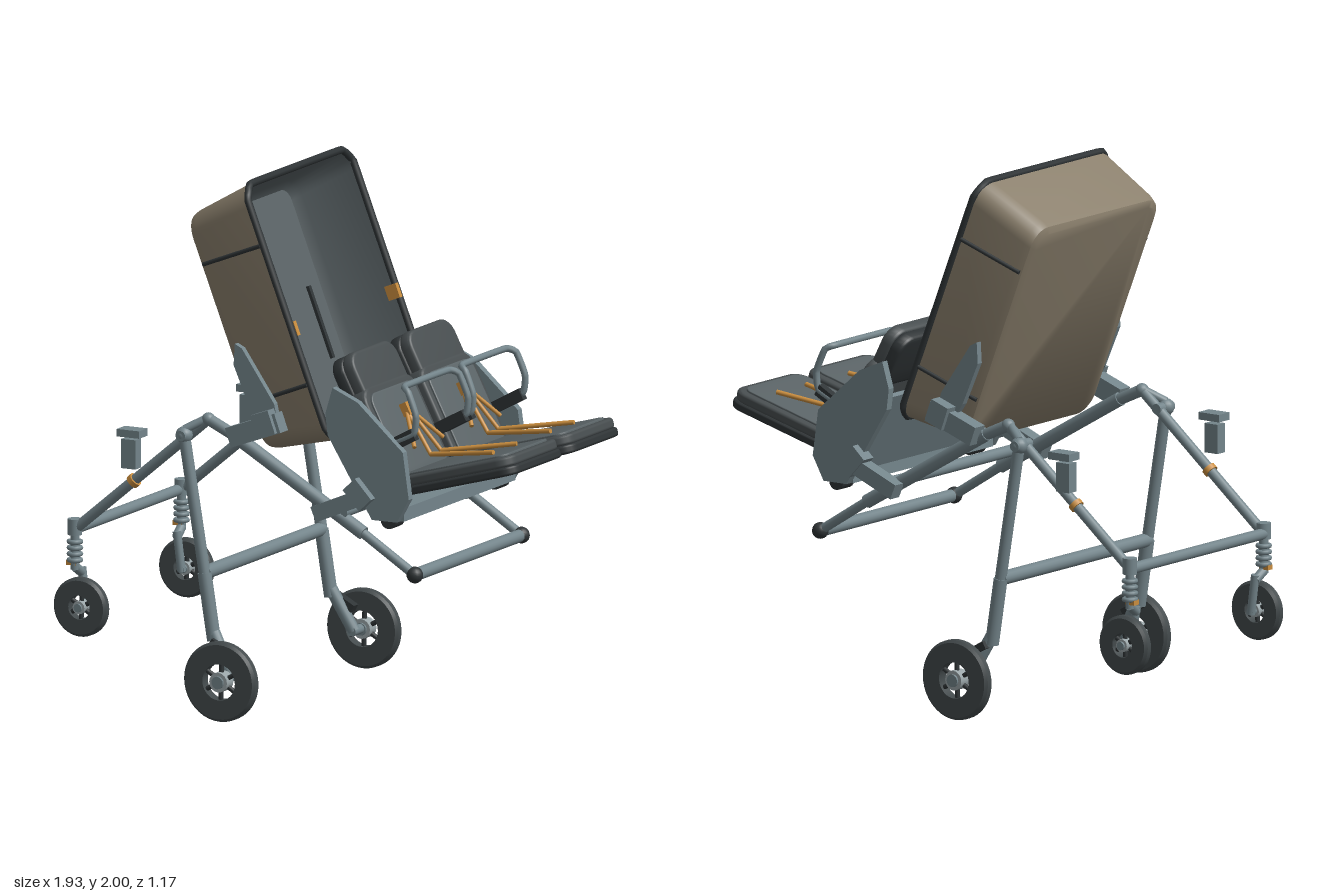
import * as THREE from 'three';
import { toCreasedNormals } from 'three/addons/utils/BufferGeometryUtils.js';

const mat = (name, color) => Object.assign(new THREE.MeshStandardMaterial({ color }), { name });

export function createModel() {
  const tan = mat('canvas tan', 0x8a7f6c), lining = mat('lining grey', 0x5a6366);
  const pad = mat('cushion charcoal', 0x474d4f), steel = mat('frame steel', 0x74858b);
  const rubber = mat('tyre rubber', 0x434a4c), trim = mat('trim black', 0x2f3436);
  const orange = mat('harness orange', 0xc98d3e), hubMat = mat('hub silver', 0x9aa5a8);
  lining.side = THREE.DoubleSide;

  const model = new THREE.Group();
  const V = (x, y, z) => new THREE.Vector3(x, y, z);
  const add = (name, geo, m, parent = model) => {
    const mesh = new THREE.Mesh(geo, m);
    mesh.name = name;
    parent.add(mesh);
    return mesh;
  };
  // Straight rod between two points
  const rod = (name, a, b, r, m = steel, parent = model, r2 = r) => {
    const A = V(...a), B = V(...b), d = B.clone().sub(A);
    const mesh = add(name, new THREE.CylinderGeometry(r2, r, d.length(), 16), m, parent);
    mesh.position.copy(A).add(B).multiplyScalar(0.5);
    mesh.quaternion.setFromUnitVectors(V(0, 1, 0), d.normalize());
    return mesh;
  };
  const box = (name, size, pos, m, parent = model, rz = 0) => {
    const mesh = add(name, new THREE.BoxGeometry(...size), m, parent);
    mesh.position.set(...pos);
    mesh.rotation.z = rz;
    return mesh;
  };
  const ball = (name, pos, r, m) => add(name, new THREE.SphereGeometry(r, 16, 12), m).position.set(...pos);
  const tube = (name, pts, r, m, closed = false, parent = model) => add(name, new THREE.TubeGeometry(
    new THREE.CatmullRomCurve3(pts, closed, 'catmullrom', 0.2), pts.length * 6, r, 8, closed), m, parent);
  // Flat plate cut in the xy plane, centred on z
  const plate = (name, pts, t, z, m) => {
    const g = new THREE.ExtrudeGeometry(new THREE.Shape(pts.map(p => new THREE.Vector2(...p))),
      { depth: t, bevelEnabled: false });
    add(name, g, m).position.z = z - t / 2;
  };
  // Points round a rounded rectangle, anticlockwise in (u, v)
  const ring = (hu, hv, r, n = 6) => {
    const out = [];
    [[1, 1], [-1, 1], [-1, -1], [1, -1]].forEach(([su, sv], k) => {
      for (let i = 0; i <= n; i++) {
        const a = (k + i / n) * Math.PI / 2;
        out.push([su * (hu - r) + r * Math.cos(a), sv * (hv - r) + r * Math.sin(a)]);
      }
    });
    return out;
  };

  // ---- Tub: open box tilted back, its mouth facing +x ----
  const tub = new THREE.Group();
  tub.name = 'tub';
  tub.position.set(0.005, 1.525, 0);
  tub.rotation.z = 0.374;
  model.add(tub);
  const loft = (rows) => {
    const pos = [], idx = [];
    rows.forEach(([x, hy, hz, r]) => ring(hy, hz, r).forEach(([u, v]) => pos.push(x, u, v)));
    const n = ring(1, 1, 0.1).length, last = rows.length - 1;
    for (let k = 0; k < last; k++) for (let i = 0; i < n; i++) {
      const a = k * n + i, b = k * n + (i + 1) % n;
      idx.push(a, a + n, b, b, a + n, b + n);
    }
    for (let i = 1; i < n - 1; i++) idx.push(last * n, last * n + i + 1, last * n + i);
    const g = new THREE.BufferGeometry();
    g.setAttribute('position', new THREE.Float32BufferAttribute(pos, 3));
    g.setIndex(idx);
    return toCreasedNormals(g, 0.6);
  };
  add('tubShell', loft([[0, 0.5, 0.41, 0.08], [-0.26, 0.462, 0.39, 0.08],
    [-0.287, 0.452, 0.382, 0.075], [-0.3, 0.43, 0.362, 0.06]]), tan, tub);
  add('tubLining', loft([[0, 0.49, 0.4, 0.075], [-0.24, 0.452, 0.38, 0.07],
    [-0.275, 0.425, 0.357, 0.05]]), lining, tub);
  tube('tubRim', ring(0.498, 0.406, 0.08, 4).map(([u, v]) => V(0, u, v)), 0.014, trim, true, tub);
  for (const s of [1, -1]) {
    for (const y of [0.27, -0.27])
      rod('tubSeam', [-0.28, y, s * 0.388], [-0.01, y, s * 0.411], 0.008, trim, tub);
    box('floorSlot', [0.012, 0.28, 0.018], [-0.268, -0.08, s * 0.26], trim, tub);
    box('rimTag', [0.05, 0.055, 0.02], [-0.01, -0.06, s * 0.392], orange, tub);
  }

  // ---- Wheels ----
  const wheel = (name, x, y, z, R, ri, w) => {
    const g = new THREE.Group();
    g.name = name;
    g.position.set(x, y, z);
    model.add(g);
    const pts = [[ri, -w], [R - 0.01, -w], [R, -w + 0.01], [R, w - 0.01], [R - 0.01, w], [ri, w], [ri, -w]];
    add('tyre', toCreasedNormals(new THREE.LatheGeometry(pts.map(p => new THREE.Vector2(...p)), 40), 0.6), rubber, g)
      .rotation.x = Math.PI / 2;
    rod('hub', [0, 0, -w - 0.004], [0, 0, w + 0.004], ri * 0.55, hubMat, g);
    rod('axleCap', [0, 0, -w - 0.012], [0, 0, w + 0.012], ri * 0.35, steel, g);
    for (let i = 0; i < 6; i++) {
      const a = i * Math.PI / 3 + 0.5;
      rod('spoke', [0, 0, 0], [ri * 1.02 * Math.cos(a), ri * 1.02 * Math.sin(a), 0], 0.009, trim, g);
    }
  };

  // ---- Frame, mirrored in z ----
  for (const s of [1, -1]) {
    const z = s * 0.41, zl = s * 0.45;
    rod('rearTube', [-0.88, 0.63, z], [-0.32, 1.1, z], 0.02);
    ball('rearTubeJoint', [-0.32, 1.1, z], 0.025, steel);
    rod('upperArm', [-0.32, 1.1, z], [-0.19, 1.04, z], 0.022);
    rod('frontArm', [-0.22, 1.055, z], [0.33, 0.735, z], 0.026);
    rod('frontArmTip', [0.33, 0.735, z], [0.545, 0.6, z], 0.018);
    ball('frontBarEnd', [0.545, 0.6, z], 0.031, trim);
    // Main leg and axle
    rod('mainLeg', [-0.4, 1.04, zl], [-0.315, 0.53, zl], 0.022);
    rod('mainLegLower', [-0.315, 0.53, zl], [-0.275, 0.28, zl], 0.026);
    ball('legTopJoint', [-0.4, 1.04, zl], 0.032, steel);
    rod('legPivot', [-0.4, 1.04, s * 0.39], [-0.4, 1.04, s * 0.48], 0.02);
    rod('legHook', [-0.4, 1.06, zl], [-0.33, 1.1, z], 0.016);
    rod('legFoot', [-0.275, 0.31, zl], [-0.19, 0.155, s * 0.47], 0.024);
    rod('axle', [-0.19, 0.155, s * 0.45], [-0.19, 0.155, s * 0.56], 0.018);
    box('brakeLever', [0.09, 0.03, 0.035], [-0.23, 0.26, s * 0.475], trim, model, -0.5);
    wheel('mainWheel', -0.19, 0.152, s * 0.55, 0.15, 0.068, 0.021);
    // Caster
    rod('casterStem', [-0.88, 0.67, z], [-0.88, 0.48, z], 0.017);
    rod('casterCap', [-0.88, 0.67, z], [-0.88, 0.61, z], 0.027);
    for (let i = 0; i < 4; i++) {
      const c = add('casterSpring', new THREE.TorusGeometry(0.022, 0.009, 8, 16), steel);
      c.position.set(-0.88, 0.515 + i * 0.023, z);
      c.rotation.x = Math.PI / 2;
    }
    box('casterLatch', [0.04, 0.018, 0.03], [-0.89, 0.505, z], orange);
    rod('casterFork', [-0.88, 0.49, z], [-0.875, 0.46, s * 0.365], 0.018);
    rod('casterForkLeg', [-0.875, 0.48, s * 0.365], [-0.855, 0.33, s * 0.365], 0.016);
    rod('casterAxle', [-0.855, 0.34, s * 0.355], [-0.855, 0.34, s * 0.42], 0.014);
    wheel('casterWheel', -0.855, 0.34, s * 0.405, 0.111, 0.045, 0.02);
    // Holder on the rear tube
    box('holderPost', [0.06, 0.11, 0.045], [-0.62, 0.95, s * 0.455], steel);
    box('holderTop', [0.095, 0.028, 0.065], [-0.613, 1.03, s * 0.46], steel);
    rod('holderClip', [-0.64, 0.831, z], [-0.625, 0.844, z], 0.027, orange);
    // Tub mount
    plate('tubBlade', [[-0.2, 1.32], [-0.195, 1.4], [-0.165, 1.385], [-0.03, 1.19], [-0.01, 1.1], [-0.07, 1.07],
      [-0.13, 1.16]], 0.025, s * 0.425, steel);
    box('tubMount', [0.22, 0.075, 0.06], [-0.1, 1.09, s * 0.445], steel, model, 0.35);
    box('tubMountCap', [0.08, 0.09, 0.05], [-0.05, 1.12, s * 0.468], steel, model, 0.35);
    // Seat side plate and bracket
    plate('seatSidePlate', [[0.225, 1.28], [0.33, 1.235], [0.52, 1.065], [0.545, 0.89], [0.495, 0.8], [0.39, 0.8],
      [0.205, 1.1], [0.195, 1.18]], 0.03, s * 0.442, steel);
    box('seatBracket', [0.2, 0.06, 0.055], [0.25, 0.84, s * 0.455], steel, model, 0.4);
    box('seatBracketHead', [0.07, 0.1, 0.06], [0.345, 0.895, s * 0.46], steel, model, 0.75);
    rod('seatKnob', [0.45, 0.8, s * 0.37], [0.45, 0.8, s * 0.44], 0.032, trim);
  }
  rod('frontBar', [0.545, 0.6, -0.41], [0.545, 0.6, 0.41], 0.024);
  rod('rearCrossbar', [-0.885, 0.63, -0.41], [-0.885, 0.63, 0.41], 0.021);
  rod('legCrossbar', [-0.315, 0.53, -0.45], [-0.315, 0.53, 0.45], 0.026);
  rod('mountCrossbar', [0.25, 0.81, -0.43], [0.25, 0.81, 0.43], 0.022);
  box('seatBase', [0.13, 0.05, 0.86], [0.445, 0.825, 0], steel);
  box('seatBackPanel', [0.36, 0.02, 0.86], [0.32, 0.98, 0], steel, model, -1.094);

  // ---- Two seats ----
  const cushion = (name, l, w, t, r, x, y, z, rz, m, parent) => {
    const b = Math.min(0.012, t * 0.3);
    const sh = new THREE.Shape(ring(l / 2 - b, w / 2 - b, r).map(p => new THREE.Vector2(...p)));
    const g = new THREE.ExtrudeGeometry(sh, { depth: t - 2 * b, bevelSize: b, bevelThickness: b, bevelSegments: 3 });
    g.translate(0, 0, b - t / 2).rotateX(-Math.PI / 2);
    const mesh = add(name, toCreasedNormals(g, 0.6), m, parent);
    mesh.position.set(x, y, z);
    mesh.rotation.z = rz;
  };
  for (const s of [1, -1]) {
    const seat = new THREE.Group();
    seat.name = 'seat';
    seat.position.z = s * 0.22;
    model.add(seat);
    const lean = -1.094, tilt = 0.268;
    cushion('seatBottom', 0.54, 0.415, 0.034, 0.05, 0.703, 0.965, 0, tilt, trim, seat);
    cushion('seatPad', 0.53, 0.41, 0.04, 0.05, 0.692, 0.998, 0, tilt, pad, seat);
    cushion('seatPanel', 0.47, 0.35, 0.012, 0.04, 0.69, 1.02, 0, tilt, lining, seat);
    cushion('backrest', 0.4, 0.4, 0.085, 0.05, 0.375, 1.08, 0, lean, pad, seat);
    cushion('backrestPanel', 0.34, 0.34, 0.016, 0.04, 0.413, 1.1, 0, lean, lining, seat);
    cushion('headrestBack', 0.21, 0.345, 0.05, 0.05, 0.238, 1.272, 0, lean, trim, seat);
    cushion('headrest', 0.21, 0.34, 0.05, 0.05, 0.28, 1.295, 0, lean, pad, seat);
    // Harness
    box('buckle', [0.05, 0.03, 0.05], [0.412, 1.178, 0], orange, seat, lean);
    for (const k of [1, -1]) {
      rod('chestStrap', [0.415, 1.17, k * 0.01], [0.53, 1.025, k * 0.04], 0.008, orange, seat);
      rod('lapStrap', [0.53, 1.025, k * 0.04], [0.82, 1.07, k * 0.09], 0.009, orange, seat);
      rod('hipStrap', [0.415, 1.17, k * 0.015], [0.5, 1.06, k * 0.11], 0.008, orange, seat);
      box('barMount', [0.13, 0.045, 0.03], [0.49, 1.1, k * 0.195], trim, seat, 0.5);
    }
    // Bumper bar
    const half = [[0.44, 1.08, 0.2], [0.545, 1.13, 0.2], [0.555, 1.2, 0.2], [0.52, 1.285, 0.195], [0.49, 1.3, 0.165]];
    tube('bumperBar', [...half.map(p => V(...p)), ...half.slice().reverse().map(([x, y, z]) => V(x, y, -z))],
      0.013, steel, false, seat);
  }
  return model;
}
